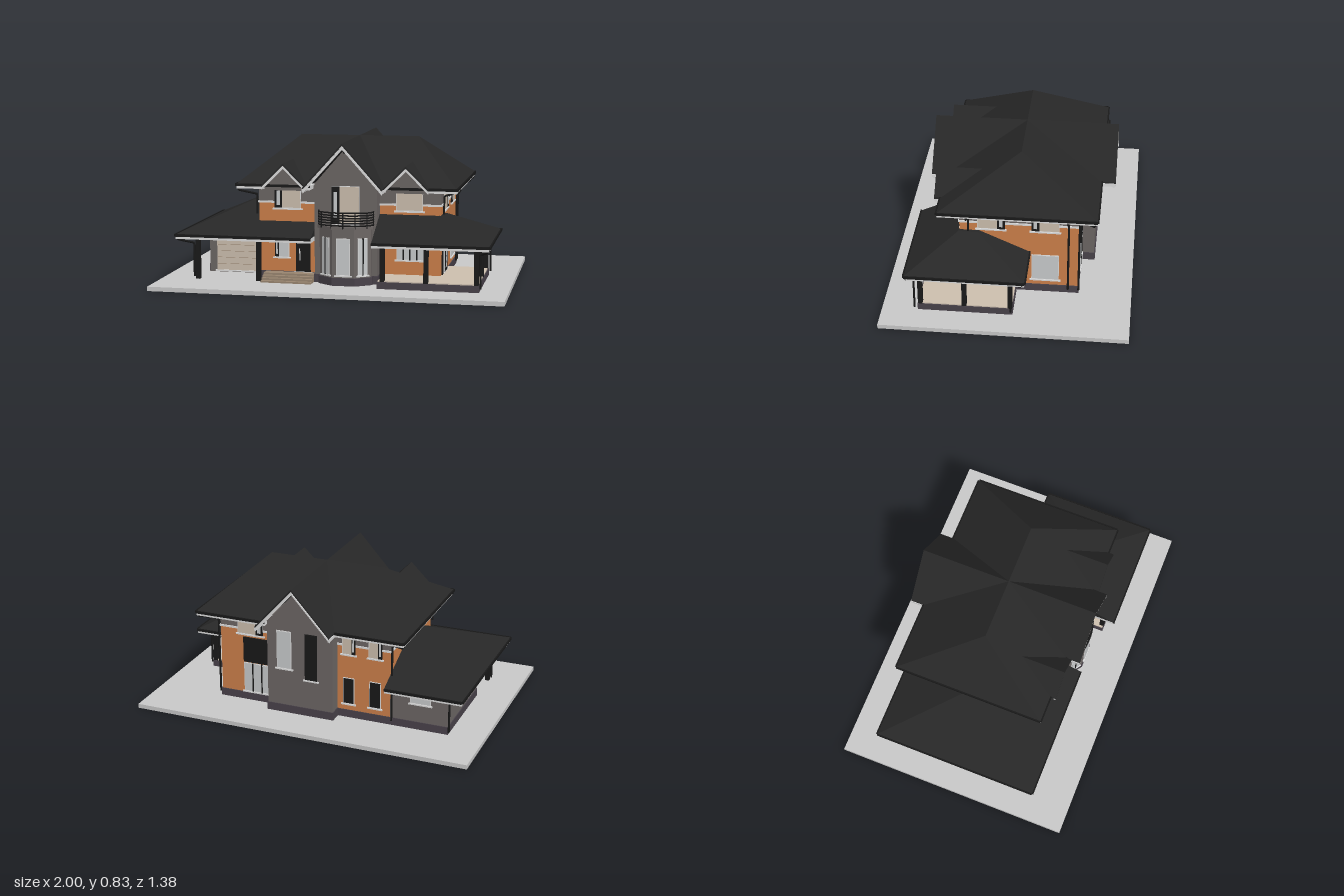
import * as THREE from 'three';

export function createModel() {
  const house = new THREE.Group();
  house.name = 'house';
  const mat = (name, color) => {
    const m = new THREE.MeshStandardMaterial({ color, side: THREE.DoubleSide });
    m.name = name;
    return m;
  };
  const M = {
    roof: mat('roof charcoal', 0x272727), black: mat('black metal', 0x191919),
    white: mat('trim white', 0xdcdcdc), orange: mat('orange plaster', 0xcd804a),
    gray: mat('gray plaster', 0x6c6664), plinth: mat('plinth stone', 0x49424a),
    beige: mat('beige blind', 0xcdbfae), pane: mat('pale glass', 0xc9cbcc),
    slab: mat('concrete', 0xc9c9c9), step: mat('step stone', 0x9a8670),
  };
  const add = (name, geo, m, parent = house) => {
    const mesh = new THREE.Mesh(geo, m);
    mesh.name = name;
    parent.add(mesh);
    return mesh;
  };
  // Box given by its limits on each axis
  const box = (name, m, x0, x1, y0, y1, z0, z1) => {
    const b = add(name, new THREE.BoxGeometry(x1 - x0, y1 - y0, z1 - z0), m);
    b.position.set((x0 + x1) / 2, (y0 + y1) / 2, (z0 + z1) / 2);
    return b;
  };
  // Flat convex polygons, each a list of [x, y, z]
  const faces = (name, m, polys) => {
    const pos = [];
    for (const p of polys)
      for (let i = 1; i < p.length - 1; i++) pos.push(...p[0], ...p[i], ...p[i + 1]);
    const g = new THREE.BufferGeometry();
    g.setAttribute('position', new THREE.Float32BufferAttribute(pos, 3));
    g.computeVertexNormals();
    return add(name, g, m);
  };
  // Outline in x and y, extruded from z0 to z1
  const prism = (name, m, pts, z0, z1) => {
    const s = new THREE.Shape(pts.map(p => new THREE.Vector2(...p)));
    const g = new THREE.ExtrudeGeometry(s, { depth: z1 - z0, bevelEnabled: false });
    return add(name, g.translate(0, 0, z0), m);
  };
  // Plan outline in x and z, extruded upwards
  const plan = (name, m, pts, y0, y1) => {
    const s = new THREE.Shape(pts.map(([x, z]) => new THREE.Vector2(x, -z)));
    const g = new THREE.ExtrudeGeometry(s, { depth: y1 - y0, bevelEnabled: false });
    return add(name, g.rotateX(-Math.PI / 2).translate(0, y0, 0), m);
  };
  // Window plate; sash = -1 or 1 gives a dark casement on that side, bars = dark mullions
  const win = (name, x, y, z, w, h, rot, m, { sash = 0, bars = 0, frame = M.white } = {}) => {
    const g = new THREE.Group();
    g.name = name;
    g.position.set(x, y, z);
    g.rotation.y = rot;
    house.add(g);
    const plate = (n, mm, px, py, pw, ph, t) =>
      add(n, new THREE.BoxGeometry(pw, ph, t), mm, g).position.set(px, py, t / 2);
    plate('frame', frame, 0, 0, w, h, 0.004);
    plate('pane', m, 0, 0, w - 0.008, h - 0.008, 0.006);
    if (sash) {
      plate('casement', M.black, sash * w * 0.36, 0, w * 0.28, h - 0.006, 0.008);
      plate('casementPane', M.pane, sash * w * 0.36, 0, w * 0.13, h * 0.7, 0.0095);
    }
    for (let i = 1; i <= bars; i++) plate('mullion', M.black, -w / 2 + w * i / (bars + 1), 0, 0.008, h, 0.008);
    plate('sill', M.white, 0, -h / 2 - 0.004, w + 0.02, 0.008, 0.0098);
    return g;
  };
  const R = Math.PI / 2;

  // Ground slab
  box('groundSlab', M.slab, -1, 1, 0, 0.025, -0.69, 0.69);

  // Two storey body: plinth, orange storey, white band, gray upper wall
  for (const [x0, x1, z0, z1] of [[-0.45, 0.6, -0.385, 0.28], [-0.45, -0.11, 0, 0.305]]) {
    box('plinth', M.plinth, x0 - 0.005, x1 + 0.005, 0.025, 0.07, z0 - 0.005, z1 + 0.005);
    box('orangeWall', M.orange, x0, x1, 0.07, 0.466, z0, z1);
    box('wallBand', M.white, x0 - 0.006, x1 + 0.006, 0.465, 0.476, z0 - 0.006, z1 + 0.006);
    box('upperWall', M.gray, x0, x1, 0.476, 0.57, z0, z1);
  }
  // Gray gabled cross wing
  prism('crossWing', M.gray, [[-0.11, 0.07], [0.25, 0.07], [0.25, 0.59], [0.07, 0.795], [-0.11, 0.59]], -0.1, 0.365);
  prism('rearWing', M.gray, [[-0.13, 0.07], [0.27, 0.07], [0.27, 0.575], [0.07, 0.795], [-0.13, 0.575]], -0.46, 0);
  box('crossWingPlinth', M.plinth, -0.115, 0.255, 0.025, 0.072, 0, 0.37);
  box('rearWingPlinth', M.plinth, -0.135, 0.275, 0.025, 0.072, -0.465, 0);
  // Garage
  box('garageWall', M.gray, -0.79, -0.44, 0.07, 0.29, -0.385, 0.17);
  box('garagePlinth', M.plinth, -0.795, -0.44, 0.025, 0.07, -0.39, 0.165);
  box('garageFrontBase', M.gray, -0.79, -0.44, 0.025, 0.071, 0.1, 0.171);
  const gDoor = win('garageDoor', -0.615, 0.132, 0.171, 0.26, 0.19, 0, M.beige, { frame: M.beige });
  for (let i = 1; i < 5; i++)
    add('doorGroove', new THREE.BoxGeometry(0.25, 0.002, 0.007), M.step, gDoor).position.set(0, -0.095 + i * 0.038, 0.0035);

  // Main hip roof, cut along the valleys of the cross gable
  const e = 0.58, r = 0.83, zr = -0.05, XL = -0.56, XR = 0.7, ZF = 0.39, ZB = -0.49;
  const peak = [0.07, r, zr], rl = [-0.28, r, zr], rr = [0.42, r, zr];
  faces('mainRoof', M.roof, [
    [[XL, e, ZB], [XL, e, ZF], rl], [[XR, e, ZF], [XR, e, ZB], rr],
    [[XL, e, ZF], [-0.155, e, ZF], peak, rl], [[0.295, e, ZF], [XR, e, ZF], rr, peak],
    [[-0.155, e, ZB], [XL, e, ZB], rl, peak], [[XR, e, ZB], [0.295, e, ZB], peak, rr],
  ]);
  // Gable roof as two thin sloping sheets with white bargeboards
  const gable = (name, cx, half, y0, y1, z0, z1, board, ends) => {
    for (const s of [-1, 1]) {
      const p = (d, drop) => [cx + s * d, y1 - (y1 - y0) * d / half - drop];
      const strip = (a, b) => {
        const q = [p(0, a), p(half, a), p(half, b), p(0, b)];
        return s > 0 ? q.reverse() : q;
      };
      prism(name, M.roof, strip(0, 0.012), z0, z1);
      for (const z of ends) prism('bargeboard', M.white, strip(0.012, board), z - 0.006, z + 0.006);
    }
  };
  gable('crossGableRoof', 0.07, 0.225, e, r, -0.57, 0.475, 0.035, [-0.558, 0.463]);
  for (const s of [-1, 1]) {
    faces('gableSoffit', M.white, [[-0.57, -0.46], [0.365, 0.475]].map(([a, b]) =>
      [[0.07, 0.812, a], [0.07 + s * 0.225, 0.562, a], [0.07 + s * 0.225, 0.562, b], [0.07, 0.812, b]]));
    const x = 0.07 + s * 0.222;
    for (const [a, b] of [[-0.57, -0.4], [0.3, 0.475]]) box('gableEave', M.white, x - 0.006, x + 0.006, 0.553, 0.572, a, b);
  }
  box('gableVent', M.black, 0.055, 0.085, 0.765, 0.785, 0.36, 0.371);
  // Small front gables
  for (const cx of [-0.28, 0.42]) {
    gable('dormerRoof', cx, 0.125, 0.582, 0.705, 0.13, 0.425, 0.03, [0.416]);
    prism('dormerWall', M.gray, [[cx - 0.115, 0.55], [cx + 0.115, 0.55], [cx + 0.115, 0.58], [cx, 0.69], [cx - 0.115, 0.58]], 0.25, 0.395);
  }
  // Boxed eaves with a black gutter edge; out names the side facing outwards
  const eave = (y, x0, x1, z0, z1, out) => {
    box('eave', M.white, x0, x1, y - 0.026, y - 0.002, z0, z1);
    const [a, b, c, d] = { l: [x0 - 0.008, x0, z0, z1], r: [x1, x1 + 0.008, z0, z1], f: [x0, x1, z1, z1 + 0.008], b: [x0, x1, z0 - 0.008, z0] }[out];
    box('gutter', M.black, a, b, y - 0.012, y + 0.003, c, d);
  };
  eave(e, XL, -0.44, ZB, ZF, 'l');
  eave(e, 0.59, XR, ZB, ZF, 'r');
  eave(e, XL, -0.13, 0.27, ZF, 'f');
  eave(e, 0.27, XR, 0.27, ZF, 'f');
  eave(e, XL, -0.13, ZB, -0.38, 'b');
  eave(e, 0.27, XR, ZB, -0.38, 'b');

  // Lower roof over the garage and entrance
  const l = 0.29, apex = [-0.45, 0.49, -0.007];
  faces('garageRoof', M.roof, [
    [[-0.9, l, -0.49], [-0.9, l, 0.475], apex],
    [[-0.9, l, 0.475], [-0.11, l, 0.475], [-0.11, 0.36, 0.306], apex],
    [[-0.45, l, -0.49], [-0.9, l, -0.49], apex],
    [[-0.11, l, 0.475], [-0.11, l, 0.3], [-0.11, 0.36, 0.306]],
  ]);
  eave(l, -0.9, -0.78, -0.49, 0.475, 'l');
  eave(l, -0.9, -0.11, 0.16, 0.475, 'f');
  eave(l, -0.9, -0.45, -0.49, -0.38, 'b');
  // Lower roof over the terrace
  faces('terraceRoof', M.roof, [
    [[0.25, l, 0.55], [0.9, l, 0.55], [0.62, 0.415, 0.285], [0.25, 0.415, 0.285]],
    [[0.9, l, 0.55], [0.9, l, -0.11], [0.62, 0.415, 0.17], [0.62, 0.415, 0.285]],
    [[0.9, l, -0.11], [0.59, l, -0.11], [0.59, 0.415, 0.17], [0.62, 0.415, 0.17]],
    [[0.62, 0.415, 0.17], [0.59, 0.415, 0.17], [0.59, 0.415, 0.285], [0.62, 0.415, 0.285]],
    [[0.25, l, 0.55], [0.25, 0.415, 0.285], [0.25, l, 0.285]],
  ]);
  eave(l, 0.25, 0.9, 0.27, 0.55, 'f');
  eave(l, 0.59, 0.9, -0.11, 0.55, 'r');
  eave(l, 0.59, 0.9, -0.11, 0, 'b');

  // Terrace floor and posts
  box('terraceBase', M.plinth, 0.27, 0.84, 0.025, 0.064, -0.04, 0.49);
  box('terraceFloor', M.beige, 0.275, 0.835, 0.064, 0.07, -0.035, 0.485);
  for (const [x, z] of [[0.3, 0.475], [0.545, 0.475], [0.825, 0.475], [0.825, 0.23], [0.825, -0.025], [-0.79, 0.4], [-0.43, 0.4]])
    box('post', M.black, x - 0.013, x + 0.013, 0.025, 0.27, z - 0.013, z + 0.013);

  // Entrance landing, steps and door
  [0.37, 0.395, 0.42, 0.445].forEach((z, i) =>
    box('entranceStep', M.step, -0.41, -0.115, 0.025, 0.068 - i * 0.011, 0.28, z));
  const door = win('frontDoor', -0.19, 0.17, 0.306, 0.085, 0.2, 0, M.black, { frame: M.black });
  add('doorHandle', new THREE.BoxGeometry(0.005, 0.07, 0.008), M.white, door).position.set(-0.02, 0, 0.006);

  // Angled ground floor bay with balcony
  const bay = [[-0.075, 0.36], [-0.075, 0.39], [0.01, 0.45], [0.135, 0.45], [0.22, 0.39], [0.22, 0.36]];
  plan('bayWall', M.gray, bay, 0.07, 0.345);
  const grow = k => bay.map(([x, z]) => [0.0725 + (x - 0.0725) * k, 0.36 + (z - 0.36) * k]);
  plan('bayPlinth', M.plinth, grow(1.05), 0.025, 0.07);
  plan('balconyFloor', M.gray, grow(1.08), 0.343, 0.36);
  win('bayWindow', 0.0725, 0.19, 0.45, 0.08, 0.21, 0, M.pane);
  win('bayWindow', -0.0325, 0.19, 0.42, 0.06, 0.21, -0.615, M.pane, { bars: 1 });
  win('bayWindow', 0.1775, 0.19, 0.42, 0.06, 0.21, 0.615, M.pane, { bars: 1 });
  const rail = new THREE.CatmullRomCurve3(
    [[-0.085, 0.365], [-0.075, 0.41], [0, 0.452], [0.0725, 0.46], [0.145, 0.452], [0.22, 0.41], [0.23, 0.365]].map(([x, z]) => new THREE.Vector3(x, 0, z)));
  for (let i = 0; i < 6; i++)
    add('balconyRail', new THREE.TubeGeometry(rail, 20, 0.0045, 5), M.black).position.y = 0.367 + i * 0.0145;
  for (let i = 0; i <= 6; i++) {
    const p = rail.getPointAt(i / 6);
    box('railPost', M.black, p.x - 0.003, p.x + 0.003, 0.35, 0.442, p.z - 0.003, p.z + 0.003);
  }

  // Front windows
  win('upperWindowRight', -0.28, 0.496, 0.306, 0.155, 0.12, 0, M.beige, { sash: -1 });
  win('upperWindowLeft', 0.42, 0.496, 0.281, 0.155, 0.12, 0, M.beige);
  win('balconyDoor', 0.07, 0.47, 0.366, 0.16, 0.22, 0, M.beige, { sash: -1 });
  win('entranceWindow', -0.315, 0.212, 0.306, 0.085, 0.12, 0, M.pane, { sash: -1 });
  win('terraceWindow', 0.425, 0.215, 0.281, 0.155, 0.12, 0, M.pane, { bars: 3 });
  // Side windows on the terrace side
  win('sideUpperWindow', 0.601, 0.492, 0.103, 0.155, 0.12, R, M.beige, { sash: 1 });
  win('sideUpperWindow', 0.601, 0.492, -0.2, 0.155, 0.12, R, M.beige, { sash: -1 });
  win('sideLowerWindow', 0.601, 0.19, -0.2, 0.155, 0.165, R, M.pane);
  win('terraceDoorSurround', 0.601, 0.172, 0.103, 0.155, 0.2, R, M.pane);
  box('terraceDoor', M.black, 0.6, 0.6085, 0.072, 0.27, 0.06, 0.145);
  for (let i = 0; i < 5; i++) box('doorPane', M.pane, 0.6, 0.6095, 0.09 + i * 0.035, 0.118 + i * 0.035, 0.078, 0.127);
  box('darkWallPanel', M.black, 0.6, 0.607, 0.07, 0.27, 0.215, 0.24);
  // Windows on the opposite side
  for (const z of [-0.22, 0.14]) win('sideUpperWindow', -0.451, 0.515, z, 0.12, 0.07, -R, M.beige);
  for (const z of [-0.22, 0.0]) win('garageSideWindow', -0.791, 0.21, z, 0.1, 0.055, -R, M.pane);
  // Rear windows
  win('garageRearWindow', -0.63, 0.21, -0.386, 0.12, 0.055, Math.PI, M.pane);
  win('rearTallWindow', 0.165, 0.415, -0.461, 0.09, 0.23, Math.PI, M.pane);
  win('rearDarkWindow', 0, 0.39, -0.461, 0.075, 0.28, Math.PI, M.black, { frame: M.black });
  for (const x of [-0.2, -0.36]) {
    win('rearLowerWindow', x, 0.19, -0.386, 0.07, 0.16, Math.PI, M.black);
    win('rearUpperWindow', x, 0.48, -0.386, 0.08, 0.13, Math.PI, M.beige, { sash: 1 });
  }
  win('rearGlazing', 0.37, 0.17, -0.386, 0.17, 0.18, Math.PI, M.pane, { bars: 2 });
  box('rearDarkPanel', M.black, 0.285, 0.455, 0.265, 0.42, -0.393, -0.38);
  win('rearUpperWindow', 0.41, 0.495, -0.386, 0.16, 0.11, Math.PI, M.beige, { sash: 1 });

  // Drainpipes: from the gutter, sloping to the wall line, then down
  const pipe = (...pts) => {
    const path = new THREE.CurvePath();
    const v = pts.map(p => new THREE.Vector3(...p));
    for (let i = 0; i < v.length - 1; i++) path.add(new THREE.LineCurve3(v[i], v[i + 1]));
    add('drainpipe', new THREE.TubeGeometry(path, 24, 0.006, 6), M.black);
  };
  pipe([0.7, 0.56, -0.48], [0.7, 0.545, -0.48], [0.61, 0.52, -0.39], [0.61, 0.05, -0.39]);
  pipe([0.7, 0.56, -0.33], [0.7, 0.545, -0.33], [0.61, 0.52, -0.33], [0.61, 0.05, -0.33]);
  pipe([0.7, 0.56, 0.23], [0.7, 0.545, 0.23], [0.61, 0.52, 0.23], [0.61, 0.4, 0.23]);
  pipe([-0.56, 0.56, 0.38], [-0.55, 0.545, 0.38], [-0.46, 0.515, 0.31], [-0.46, 0.4, 0.31]);
  pipe([-0.56, 0.56, -0.48], [-0.55, 0.545, -0.48], [-0.46, 0.515, -0.39], [-0.46, 0.05, -0.39]);
  pipe([-0.9, 0.275, 0.47], [-0.89, 0.26, 0.46], [-0.81, 0.235, 0.41], [-0.81, 0.04, 0.41]);
  pipe([-0.9, 0.275, -0.48], [-0.89, 0.26, -0.47], [-0.8, 0.235, -0.39], [-0.8, 0.04, -0.39]);
  pipe([0.9, 0.275, 0.545], [0.89, 0.26, 0.54], [0.85, 0.24, 0.505], [0.85, 0.05, 0.505]);
  pipe([0.9, 0.275, -0.1], [0.89, 0.26, -0.09], [0.85, 0.24, -0.03], [0.85, 0.05, -0.03]);
  return house;
}
